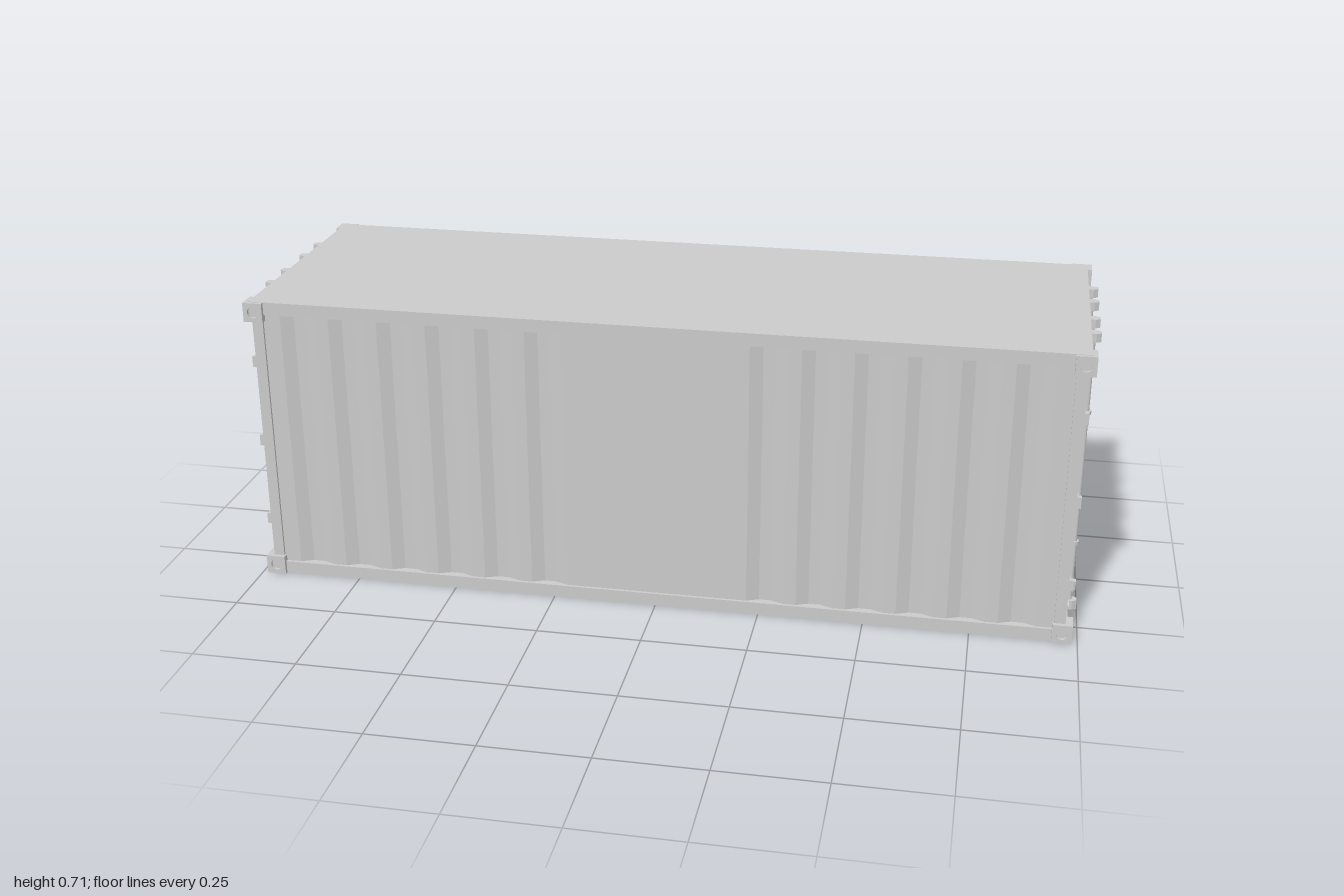
import * as THREE from 'three';

const grey = new THREE.MeshStandardMaterial({ color: 0xcccccc });
const H = 0.713, SIDE = 0.326, END = 0.976, RAIL = 0.031, DOOR = 0.962;

function add(parent, name, geometry, x = 0, y = 0, z = 0) {
  const mesh = new THREE.Mesh(geometry, grey);
  mesh.name = name;
  mesh.position.set(x, y, z);
  parent.add(mesh);
  return mesh;
}

// Box given by its limits on each axis
function span(parent, name, x0, x1, y0, y1, z0, z1) {
  return add(parent, name, new THREE.BoxGeometry(x1 - x0, y1 - y0, z1 - z0),
    (x0 + x1) / 2, (y0 + y1) / 2, (z0 + z1) / 2);
}

// Upright prism from a plan outline of [x, z] points
function prism(points, y0, y1) {
  const shape = new THREE.Shape(points.map(([x, z]) => new THREE.Vector2(x, -z)));
  return new THREE.ExtrudeGeometry(shape, { depth: y1 - y0, bevelEnabled: false })
    .rotateX(-Math.PI / 2).translate(0, y0, 0);
}

// Flat plate with rounded corners, centred in x and y, back at z = 0
function roundedPlate(w, h, r, depth) {
  const s = new THREE.Shape();
  const a = w / 2 - r, b = h / 2 - r;
  s.absarc(a, b, r, 0, Math.PI / 2);
  s.absarc(-a, b, r, Math.PI / 2, Math.PI);
  s.absarc(-a, -b, r, Math.PI, Math.PI * 1.5);
  s.absarc(a, -b, r, Math.PI * 1.5, Math.PI * 2);
  return new THREE.ExtrudeGeometry(s, { depth, bevelEnabled: false, curveSegments: 6 });
}

// Corrugated body: plan outline with trapezoid recesses, set in behind the rails
function bodyGeometry() {
  const wall = 0.319, depth = 0.012, slope = 0.03, width = 0.088, pitch = 0.119, first = 0.22;
  const starts = [];
  for (let i = 0; i < 6; i++) {
    const x = first + i * pitch;
    starts.push(x, -x - width);
  }
  starts.sort((a, b) => a - b);
  const side = [[-0.945, -wall]];
  for (const x of starts) {
    side.push([x, -wall], [x + slope, -wall + depth],
      [x + width - slope, -wall + depth], [x + width, -wall]);
  }
  side.push([0.945, -wall]);
  return prism([...side, ...side.map(([x, z]) => [-x, -z])], RAIL - 0.002, H - RAIL + 0.002);
}

// Corner block with round openings on its two outer sides
function corner(parent, sx, top, sz) {
  const size = 0.047, t = 0.008, X = 0.987, Z = 0.335;
  const g = new THREE.Group();
  g.name = 'cornerBlock';
  const face = new THREE.Shape();
  const h = size / 2;
  face.moveTo(-h, -h).lineTo(h, -h).lineTo(h, h).lineTo(-h, h).closePath();
  const hole = new THREE.Path();
  hole.absarc(0, 0, 0.0135, 0, Math.PI * 2, true);
  face.holes.push(hole);
  const plate = new THREE.ExtrudeGeometry(face, { depth: t, bevelEnabled: false, curveSegments: 10 })
    .translate(0, 0, -t / 2);
  const y = top ? H - 0.001 - h : h;
  add(g, 'endPlate', plate, sx * (X - t / 2), y, sz * (Z - h)).rotation.y = Math.PI / 2;
  add(g, 'sidePlate', plate, sx * (X - h), y, sz * (Z - t / 2));
  add(g, 'core', new THREE.BoxGeometry(size - t, size, size - t),
    sx * (X - h - t / 2), y, sz * (Z - h - t / 2));
  parent.add(g);
}

// Chamfered block that holds a rod end
const keeper = (y0, y1) => prism(
  [[-0.013, 0.972], [-0.013, 0.988], [-0.007, 0.999], [0.007, 0.999], [0.013, 0.988], [0.013, 0.972]],
  y0, y1);

// Locking rod with its end keepers and guide clamps
function lockRod(parent, x) {
  const g = new THREE.Group();
  g.name = 'lockRod';
  g.position.x = x;
  add(g, 'rod', new THREE.CylinderGeometry(0.006, 0.006, 0.675, 12), 0, 0.3555, 0.981);
  add(g, 'topKeeper', keeper(0.687, 0.708));
  add(g, 'bottomPlate', roundedPlate(0.054, 0.023, 0.009, 0.008), 0, 0.0165, 0.973);
  add(g, 'bottomKeeper', keeper(0.005, 0.028));
  for (const y of [0.179, 0.512]) {
    add(g, 'clampPlate', roundedPlate(0.055, 0.009, 0.0044, 0.01), 0, y, DOOR - 0.001);
    add(g, 'clampRing', new THREE.CylinderGeometry(0.011, 0.011, 0.009, 12), 0, y, 0.981);
  }
  parent.add(g);
}

// Lever reaching outwards from an inner rod
function handle(parent, s) {
  const g = new THREE.Group();
  g.name = 'doorHandle';
  g.position.set(s * 0.062, 0.243, 0.977);
  add(g, 'hub', new THREE.BoxGeometry(0.01, 0.018, 0.014), s * 0.004);
  add(g, 'neck', new THREE.BoxGeometry(0.02, 0.009, 0.008), s * 0.016);
  add(g, 'catch', new THREE.BoxGeometry(0.004, 0.018, 0.018), s * 0.042, 0, -0.006);
  const arm = new THREE.CylinderGeometry(0.0015, 0.004, 0.056, 8);
  add(g, 'lever', arm, s * 0.052).rotation.z = -s * Math.PI / 2;
  parent.add(g);
}

// One door end, facing +z before it is turned into place
function doorEnd() {
  const g = new THREE.Group();
  g.name = 'doorEnd';
  span(g, 'doors', -0.305, 0.305, RAIL - 0.001, H - RAIL + 0.001, 0.93, DOOR);
  for (const s of [-1, 1]) {
    // Post with a sloping inner face that forms the door gap
    const post = [[0.325, 0.944], [0.325, 0.97], [0.314, 0.97], [0.305, 0.944]];
    add(g, 'cornerPost', prism(post.map(([x, z]) => [s * x, z]), RAIL, H - RAIL));
    for (const y of [0.146, 0.356, 0.56]) {
      add(g, 'hingeLeaf', roundedPlate(0.046, 0.021, 0.01, 0.012), s * 0.3, y, DOOR - 0.001);
      add(g, 'hingeKnuckle', new THREE.BoxGeometry(0.012, 0.027, 0.014), s * 0.317, y, 0.973);
    }
    lockRod(g, s * 0.062);
    lockRod(g, s * 0.159);
    handle(g, s);
  }
  return g;
}

export function createModel() {
  const model = new THREE.Group();
  model.name = 'cargoContainer';
  add(model, 'corrugatedBody', bodyGeometry());
  span(model, 'roof', -END, END, H - RAIL, H, -SIDE, SIDE);
  // Bottom rails stand below a raised floor
  const w = 0.014;
  span(model, 'floor', -END + w, END - w, 0.018, RAIL, -SIDE + w, SIDE - w);
  for (const s of [-1, 1]) {
    const x = s * (END - w / 2), z = s * (SIDE - w / 2);
    span(model, 'bottomSideRail', -END, END, 0, RAIL, z - w / 2, z + w / 2);
    span(model, 'bottomEndRail', x - w / 2, x + w / 2, 0, RAIL, -SIDE + w, SIDE - w);
    const end = doorEnd();
    end.rotation.y = s * Math.PI / 2;
    model.add(end);
    for (const sz of [-1, 1]) {
      corner(model, s, false, sz);
      corner(model, s, true, sz);
    }
  }
  return model;
}
